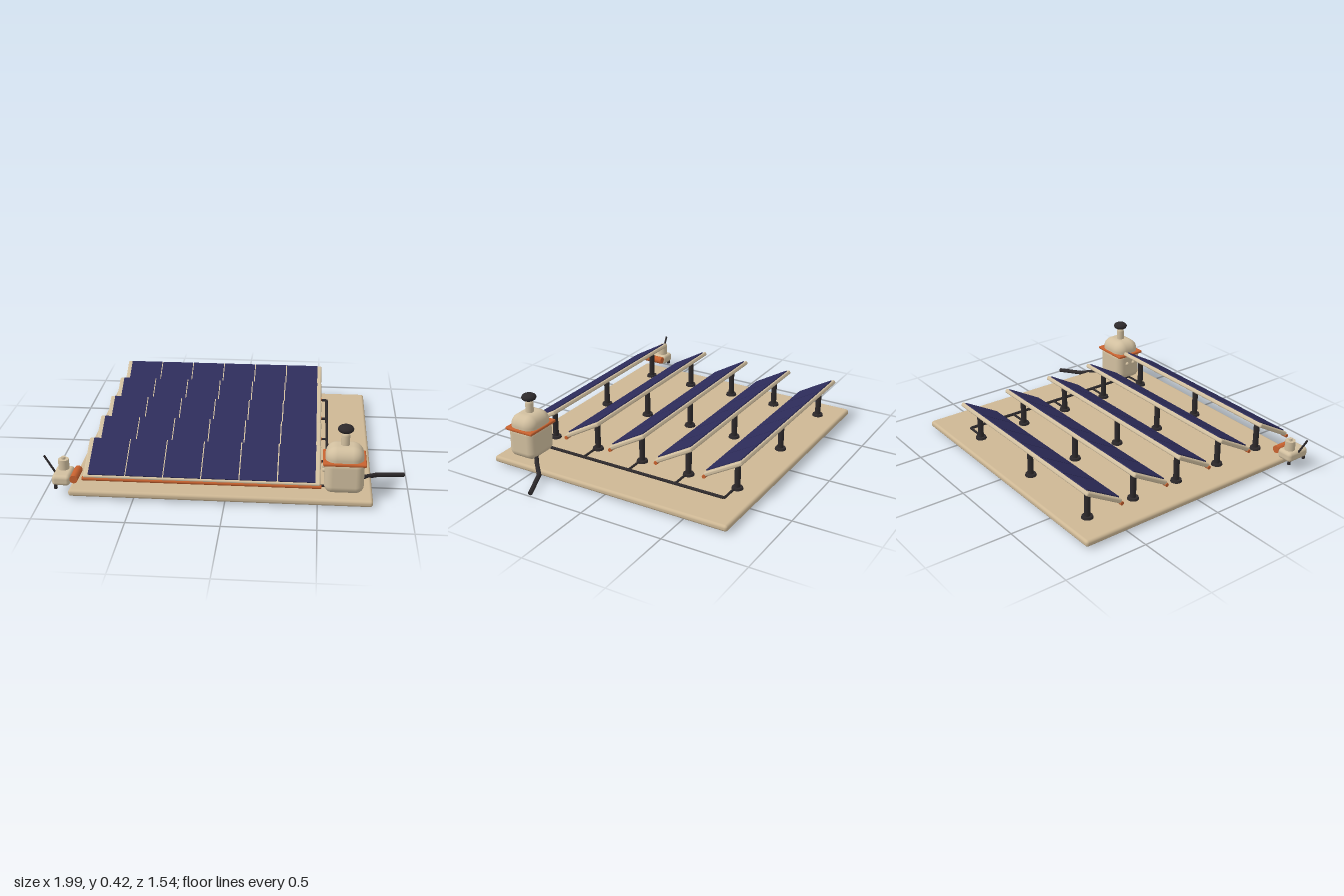
import * as THREE from 'three';
import { RoundedBoxGeometry } from 'three/addons/geometries/RoundedBoxGeometry.js';

const material = (name, color) => {
  const m = new THREE.MeshStandardMaterial({ color });
  m.name = name;
  return m;
};

export function createModel() {
  const model = new THREE.Group();
  model.name = 'solarField';
  const sand = material('sand', 0xcdb794);
  const cream = material('cream', 0xd1bf9f);
  const navy = material('navy', 0x2d2c5a);
  const charcoal = material('charcoal', 0x2d292b);
  const orange = material('orange', 0xc8622f);

  const add = (parent, name, geometry, mat, x = 0, y = 0, z = 0) => {
    const mesh = new THREE.Mesh(geometry, mat);
    mesh.name = name;
    mesh.position.set(x, y, z);
    parent.add(mesh);
    return mesh;
  };
  const group = (name) => {
    const g = new THREE.Group();
    g.name = name;
    model.add(g);
    return g;
  };
  const rounded = (w, h, d, r, s = 3) => new RoundedBoxGeometry(w, h, d, s, r);
  const cylinder = (r, h, sides = 16) => new THREE.CylinderGeometry(r, r, h, sides);
  // Straight rod between two points
  const rod = (parent, name, a, b, r, mat) => {
    const from = new THREE.Vector3(...a), to = new THREE.Vector3(...b);
    const dir = to.clone().sub(from);
    const mesh = add(parent, name, cylinder(r, dir.length(), 10), mat);
    mesh.position.copy(from).add(to).multiplyScalar(0.5);
    mesh.quaternion.setFromUnitVectors(new THREE.Vector3(0, 1, 0), dir.normalize());
    return mesh;
  };

  // Ground slab
  add(model, 'slab', rounded(1.655, 0.038, 1.528, 0.016), sand, -0.03, 0.03, -0.006);

  // Five tilted panel rows on three posts each
  const rowX = -0.127, tilt = Math.PI / 6;
  for (let i = 0; i < 5; i++) {
    const z = 0.645 - i * 0.3075;
    const row = group('panelRow');
    const panel = new THREE.Group();
    panel.name = 'panel';
    panel.position.set(rowX, 0.196, z);
    panel.rotation.x = tilt;
    row.add(panel);
    add(panel, 'frame', rounded(1.28, 0.025, 0.262, 0.009), cream);
    for (let c = 0; c < 6; c++) {
      add(panel, 'cell', new THREE.BoxGeometry(0.199, 0.008, 0.242), navy, (c - 2.5) * 0.2055, 0.0145, -0.002);
    }
    const bar = add(panel, 'lowerBar', cylinder(0.011, 1.29, 10), orange, 0, -0.007, 0.13);
    bar.rotation.z = Math.PI / 2;
    for (const x of [-0.672, -0.13, 0.416]) {
      add(row, 'post', cylinder(0.017, 0.155), charcoal, x, 0.1255, z - 0.047);
      add(row, 'postFoot', new THREE.CylinderGeometry(0.03, 0.034, 0.014, 16), charcoal, x, 0.055, z - 0.047);
    }
    // Branch to the collecting conduit
    rod(row, 'branch', [0.416, 0.056, z - 0.04], [0.552, 0.056, z - 0.04], 0.007, charcoal);
  }
  rod(model, 'conduit', [0.552, 0.055, -0.62], [0.552, 0.055, 0.6], 0.009, charcoal);

  // Storage tank with band, neck and cap
  const tank = group('tank');
  tank.position.set(0.641, 0, 0.602);
  add(tank, 'tankBody', rounded(0.215, 0.2, 0.182, 0.045, 5), cream, 0, 0.147, 0);
  add(tank, 'tankDome', rounded(0.208, 0.2, 0.174, 0.062, 6), cream, 0, 0.209, 0);
  add(tank, 'tankBand', rounded(0.234, 0.018, 0.19, 0.007), orange, 0, 0.226, 0);
  const neck = [[0.024, 0.29], [0.024, 0.362], [0.019, 0.378], [0, 0.384]].map((p) => new THREE.Vector2(...p));
  add(tank, 'neck', new THREE.LatheGeometry(neck, 16), cream);
  add(tank, 'cap', new THREE.SphereGeometry(1, 14, 10), charcoal, 0, 0.4, 0).scale.set(0.044, 0.024, 0.044);
  for (const z of [-0.025, 0.025]) {
    add(tank, 'tankKnob', new THREE.SphereGeometry(0.012, 12, 8), cream, -0.109, 0.165, z);
  }

  // Output hose bending off the slab
  const hose = group('hose');
  const bends = [[0.66, 0.062, 0.56], [0.75, 0.056, 0.485], [0.83, 0.036, 0.408], [0.99, 0.014, 0.347]];
  for (let i = 1; i < bends.length; i++) {
    rod(hose, 'hoseSection', bends[i - 1], bends[i], 0.013, charcoal);
    if (i < 3) add(hose, 'hoseJoint', new THREE.SphereGeometry(0.013, 10, 8), charcoal, ...bends[i]);
  }

  // Control unit at the front corner
  const unit = group('controlUnit');
  add(unit, 'unitBody', rounded(0.1, 0.06, 0.15, 0.02, 4), cream, -0.895, 0.098, 0.676);
  add(unit, 'unitTurret', cylinder(0.03, 0.06, 20), cream, -0.896, 0.155, 0.648);
  add(unit, 'turretKnob', cylinder(0.012, 0.016, 12), cream, -0.896, 0.191, 0.648);
  const drum = add(unit, 'drum', cylinder(0.023, 0.128), orange, -0.825, 0.106, 0.674);
  drum.rotation.x = Math.PI / 2;
  rod(unit, 'lever', [-0.935, 0.11, 0.676], [-0.995, 0.215, 0.676], 0.006, charcoal);
  for (const z of [0.62, 0.738]) {
    add(unit, 'unitFoot', cylinder(0.01, 0.03, 10), charcoal, -0.925, 0.064, z);
  }
  return model;
}
